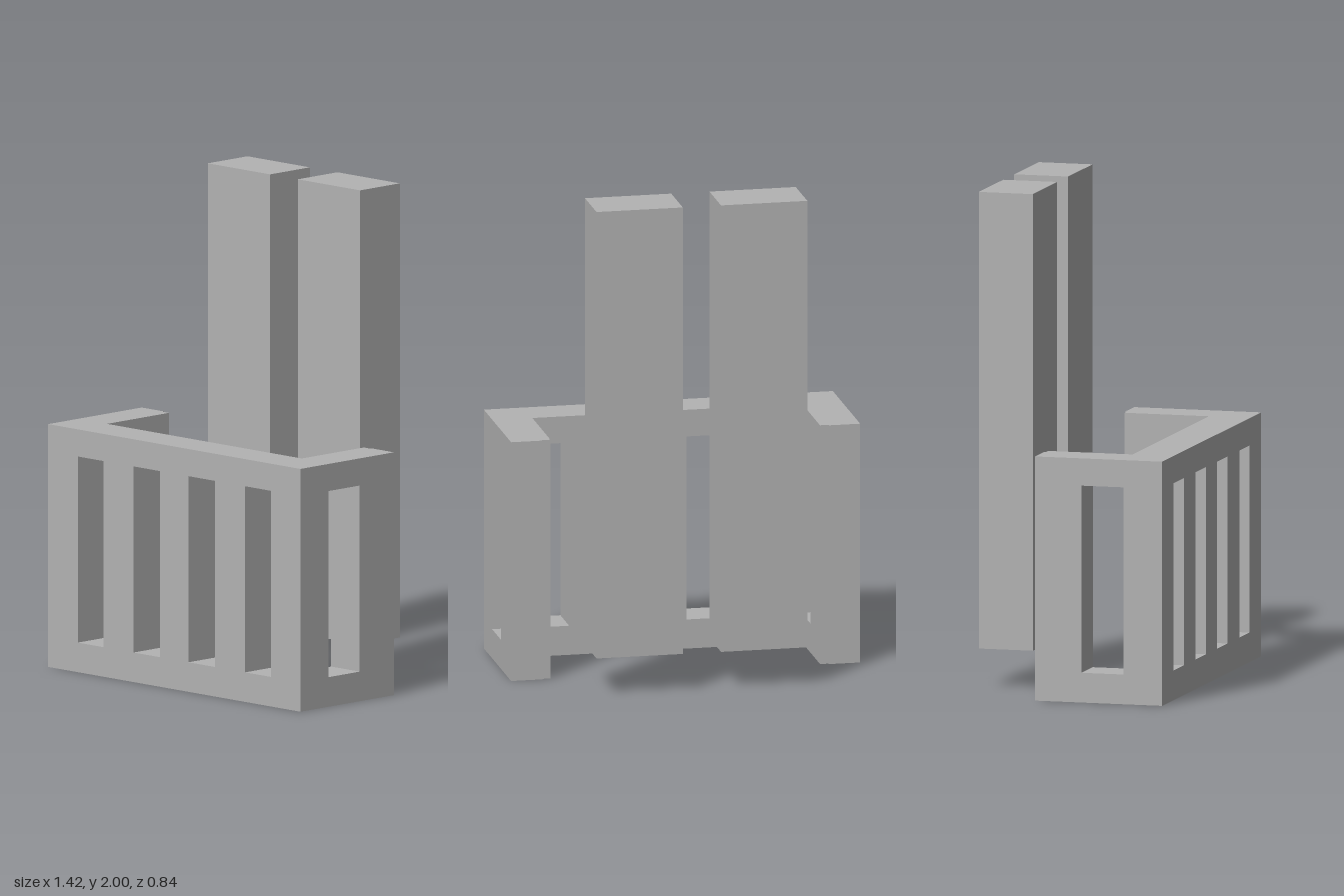
import * as THREE from 'three';

const TOP = 0.985, SLOT_LOW = 0.12, SLOT_HIGH = 0.875;

// Upright panel from u0 to u1 with rectangular slots [start, end] cut through it
function panel(u0, u1, slots, depth) {
  const rect = (path, a, b, low, high) =>
    path.moveTo(a, low).lineTo(b, low).lineTo(b, high).lineTo(a, high).closePath();
  const shape = rect(new THREE.Shape(), u0, u1, 0, TOP);
  for (const [a, b] of slots) shape.holes.push(rect(new THREE.Path(), a, b, SLOT_LOW, SLOT_HIGH));
  return new THREE.ExtrudeGeometry(shape, { depth, bevelEnabled: false });
}

export function createModel() {
  const group = new THREE.Group();
  const concrete = new THREE.MeshStandardMaterial({ color: 0xb3b3b3 });
  concrete.name = 'concrete grey';

  const add = (name, geometry) => {
    const mesh = new THREE.Mesh(geometry, concrete);
    mesh.name = name;
    group.add(mesh);
  };

  // Front balustrade with four slots, fitted between the side walls
  const slots = [[-0.545, -0.4], [-0.23, -0.08], [0.08, 0.23], [0.4, 0.545]];
  add('frontBalustrade', panel(-0.55, 0.55, slots, 0.17).translate(0, 0, 0.25));

  // Side wall slab, spanning x0 to x1 and ending at zBack
  const sideSlab = (x0, x1, zBack) =>
    panel(zBack, 0.42, [[0.085, 0.26]], x1 - x0).rotateY(-Math.PI / 2).translate(x1, 0, 0);

  for (const [side, s] of [['left', 1], ['right', -1]]) {
    // Each side wall has a small step at its back end
    const outer = s > 0 ? [0.585, 0.712] : [-0.712, -0.585];
    const inner = s > 0 ? [0.55, 0.585] : [-0.585, -0.55];
    add(side + 'SideWall', sideSlab(...outer, -0.108));
    add(side + 'SideWallLining', sideSlab(...inner, -0.1));

    // Tall door panel standing behind the balcony
    add(side + 'DoorPanel',
      new THREE.BoxGeometry(0.352, 1.842, 0.224).translate(s * 0.254, 1.079, -0.311));
  }
  return group;
}
